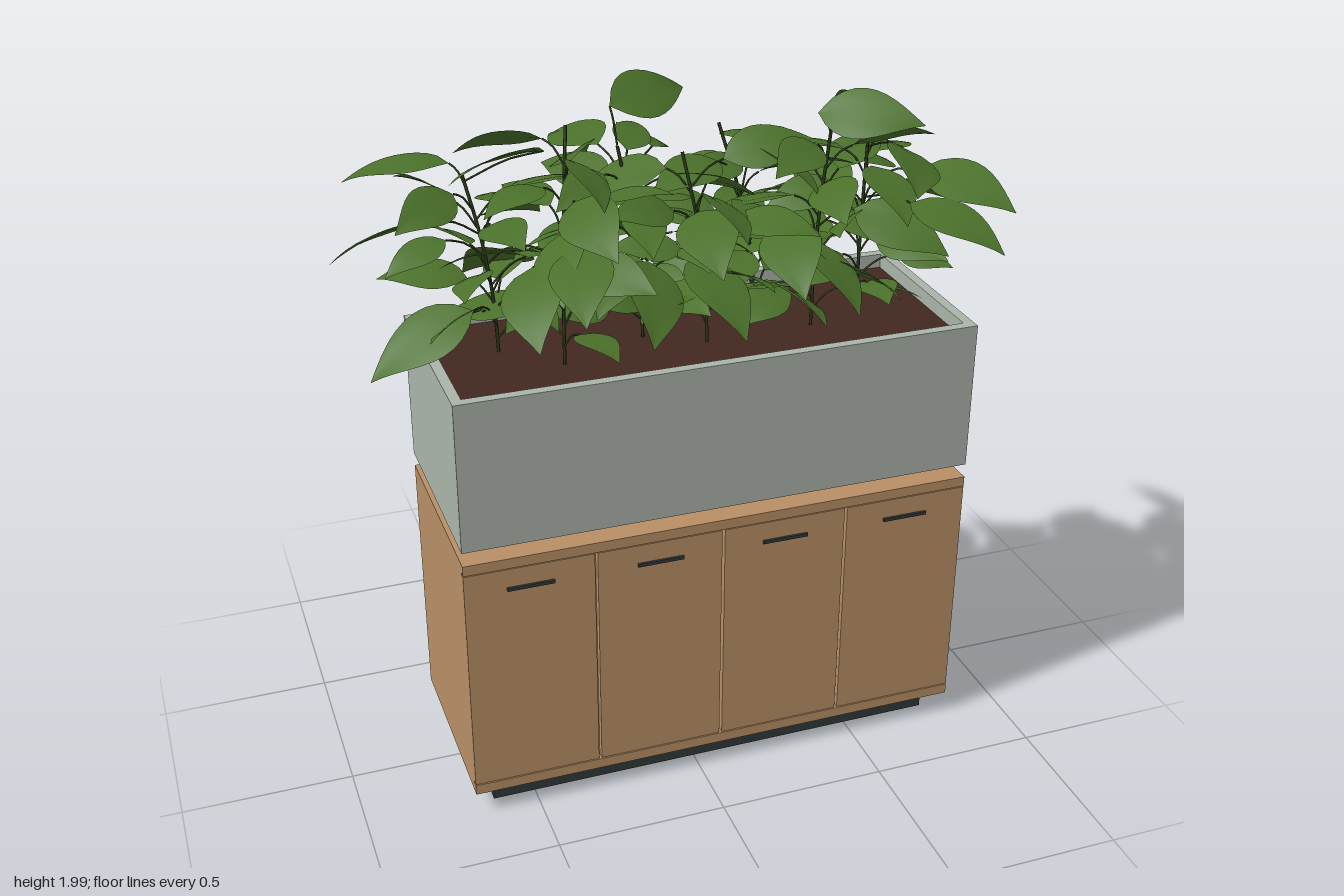
import * as THREE from 'three';

const mat = (name, color, side = THREE.FrontSide) => {
  const m = new THREE.MeshStandardMaterial({ color, side });
  m.name = name;
  return m;
};
const V = (x, y, z) => new THREE.Vector3(x, y, z);

// small seeded generator
function seeded(s) {
  return () => {
    s = (s * 16807) % 2147483647;
    return s / 2147483647;
  };
}

// unit leaf: base at the origin, tip at +z, arched and folded along the midrib
function leafGeometry() {
  const g = new THREE.PlaneGeometry(1, 1, 4, 10);
  g.rotateX(-Math.PI / 2);
  const p = g.attributes.position;
  for (let i = 0; i < p.count; i++) {
    const t = p.getZ(i) + 0.5;
    const half = 1.06 * Math.sin(Math.PI * Math.pow(t, 0.78)) * (1 - 0.2 * t);
    const x = p.getX(i) * Math.max(half, 0.012);
    p.setXYZ(i, x, 0.5 * t * (1 - t) + 0.16 * Math.abs(x) - 0.35 * x * x, t);
  }
  g.computeVertexNormals();
  return g;
}

export function createModel() {
  const model = new THREE.Group();
  const wood = mat('wood', 0xb88f66);
  const grey = mat('planter grey', 0xaab4a9);
  const dark = mat('dark metal', 0x303839);
  const earth = mat('soil', 0x42271f);
  const green = mat('leaf green', 0x4b712b, THREE.DoubleSide);
  const stalk = mat('stem green', 0x2a3a18);

  const group = name => {
    const g = new THREE.Group();
    g.name = name;
    model.add(g);
    return g;
  };
  const add = (parent, name, geo, m, x = 0, y = 0, z = 0) => {
    const mesh = new THREE.Mesh(geo, m);
    mesh.name = name;
    mesh.position.set(x, y, z);
    parent.add(mesh);
    return mesh;
  };
  // box given by its limits on each axis
  const box = (parent, name, m, x0, x1, y0, y1, z0, z1) =>
    add(parent, name, new THREE.BoxGeometry(x1 - x0, y1 - y0, z1 - z0), m,
      (x0 + x1) / 2, (y0 + y1) / 2, (z0 + z1) / 2);

  // cabinet
  const L = -0.687, R = 0.823, B = -0.313, F = 0.29, T = 0.03;
  const cabinet = group('cabinet');
  box(cabinet, 'plinth', dark, -0.625, 0.762, 0, 0.07, -0.265, 0.24);
  box(cabinet, 'bottomPanel', wood, L, R, 0.07, 0.102, B, F);
  box(cabinet, 'topPanel', wood, L, R, 0.815, 0.846, B, F);
  for (const x of [L, R - T])
    box(cabinet, 'sidePanel', wood, x, x + T, 0.102, 0.815, B, F - 0.022);
  box(cabinet, 'backPanel', wood, L + T, R - T, 0.102, 0.815, B + 0.006, B + T);
  box(cabinet, 'innerFront', wood, L + T, R - T, 0.102, 0.815, F - 0.04, F - 0.022);

  // four doors with slim pulls
  const doorWidth = (R - L) / 4;
  for (let i = 0; i < 4; i++) {
    const x0 = L + i * doorWidth, x1 = x0 + doorWidth, mid = (x0 + x1) / 2;
    box(cabinet, 'door', wood, x0 + (i > 0 ? 0.004 : 0), x1 - (i < 3 ? 0.004 : 0), 0.105, 0.812, F - 0.022, F - 0.001);
    box(cabinet, 'doorPull', dark, mid - 0.068, mid + 0.068, 0.745, 0.755, F - 0.001, F + 0.006);
  }

  // planter box on four feet
  const planter = group('planter');
  const footGeo = new THREE.CylinderGeometry(0.022, 0.028, 0.045, 20);
  for (const x of [-0.545, 0.682])
    for (const z of [-0.2, 0.175]) add(planter, 'foot', footGeo, dark, x, 0.868, z);
  const rect = (Kind, w, d) =>
    new Kind([V(-w, -d, 0), V(w, -d, 0), V(w, d, 0), V(-w, d, 0)].map(v => new THREE.Vector2(v.x, v.y)));
  const rim = rect(THREE.Shape, (R - L) / 2, (F - B) / 2);
  rim.holes.push(rect(THREE.Path, (R - L) / 2 - T, (F - B) / 2 - T));
  const walls = new THREE.ExtrudeGeometry(rim, { depth: 0.445, bevelEnabled: false });
  walls.rotateX(-Math.PI / 2);
  add(planter, 'planterWalls', walls, grey, (L + R) / 2, 0.888, (B + F) / 2);
  box(planter, 'planterFloor', grey, L + T, R - T, 0.888, 0.91, B + T, F - T);
  box(planter, 'soil', earth, L + T, R - T, 0.91, 1.29, B + T, F - T);

  // plants: foot x, foot z, top x, top y, top z
  const plants = [
    [-0.47, -0.08, -0.53, 1.79, -0.16], [-0.32, 0.06, -0.26, 1.92, -0.08],
    [-0.06, -0.04, -0.11, 1.84, -0.1], [0.1, 0.05, 0.03, 1.85, 0.03],
    [0.28, -0.04, 0.21, 1.85, -0.17], [0.42, 0.04, 0.46, 1.88, 0.04],
    [0.59, -0.02, 0.6, 1.8, -0.02],
  ];
  const foliage = group('foliage');
  const leafGeo = leafGeometry();
  // point on a leaning stem at a given height
  const stemAt = (p, y) => {
    const t = THREE.MathUtils.clamp((y - 1.28) / (p[3] - 1.28), 0, 1);
    return V(p[0] + (p[2] - p[0]) * t * t, 1.28 + (p[3] - 1.28) * t, p[1] + (p[4] - p[1]) * t * t);
  };
  const tube = (name, pts, r, n) =>
    add(foliage, name, new THREE.TubeGeometry(new THREE.CatmullRomCurve3(pts), n, r, 5), stalk);
  const addLeaf = (base, tip, roll, p) => {
    const leaf = add(foliage, 'leaf', leafGeo, green, base.x, base.y, base.z);
    const len = base.distanceTo(tip);
    leaf.lookAt(tip);
    leaf.rotateZ(roll);
    leaf.scale.set(len * 0.57, len * 0.65, len);
    const root = stemAt(p, base.y - 0.07);
    const mid = root.clone().lerp(base, 0.55);
    mid.y += 0.015;
    tube('leafStalk', [root, mid, base], 0.003, 5);
  };
  for (const p of plants)
    tube('stem', [0, 1, 2, 3].map(i => stemAt(p, 1.28 + (p[3] - 1.28) * i / 3)), 0.005, 12);

  // outer leaves: tip x, y, z and heading in degrees; low leaves hang more
  const outer = [
    [-0.84, 1.77, -0.25, 195], [-0.92, 1.61, -0.07, 180], [-0.85, 1.31, 0.04, 178],
    [-0.33, 1.6, -0.44, -72], [-0.5, 1.42, -0.36, -115], [-0.18, 1.76, -0.5, -100],
    [-0.09, 1.54, -0.45, -97], [0.02, 1.74, -0.48, -90], [0.12, 1.27, -0.43, -85],
    [0.58, 1.64, -0.37, -30], [0.69, 1.78, -0.46, -102], [0.83, 1.68, -0.27, -45],
    [0.91, 1.57, -0.05, -5], [0.88, 1.68, 0.34, 55], [0.78, 1.62, 0.47, 55],
    [0.5, 1.82, 0.49, 109], [0.26, 1.52, 0.36, 100], [0, 1.64, 0.43, 98],
    [-0.17, 1.45, 0.38, 106], [-0.37, 1.57, 0.45, 104], [-0.48, 1.5, 0.41, 102],
    [0.64, 1.92, 0.24, 36], [0.15, 1.92, -0.3, -27], [-0.59, 1.8, -0.05, 165],
    [0.42, 1.45, 0.36, 80], [0.1, 1.42, 0.35, 80], [-0.26, 1.7, 0.37, 85],
  ];
  const rollFor = (y, i) => {
    if (y > 1.9) return 0.7;
    return y < 1.3 ? -1.1 : 0.5 * Math.sin(i * 2);
  };
  const nearest = b => plants.reduce((p, q) =>
    Math.hypot(p[0] - b.x, p[1] - b.z) < Math.hypot(q[0] - b.x, q[1] - b.z) ? p : q);
  outer.forEach(([x, y, z, heading], i) => {
    const a = THREE.MathUtils.degToRad(heading);
    const drop = 0.04 + (1.8 - y) * 0.25;
    const base = V(x - 0.29 * Math.cos(a), y + drop, z - 0.29 * Math.sin(a));
    addLeaf(base, V(x, y, z), rollFor(y, i), nearest(base));
  });

  // inner leaves spiral up every stem
  const rnd = seeded(4711);
  plants.forEach((p, k) => {
    for (let i = 0; i < 15; i++) {
      const y = 1.36 + (p[3] - 1.41) * (i + rnd() * 0.6) / 15;
      const a = k * 1.3 + i * 2.4 + rnd() * 0.4;
      const s = stemAt(p, y), reach = 0.05 + rnd() * 0.06, len = 0.2 + rnd() * 0.08;
      const dx = Math.cos(a), dz = Math.sin(a);
      const base = V(s.x + dx * reach, y + 0.04, s.z + dz * reach);
      const tip = V(base.x + dx * len, base.y - 0.1 + rnd() * 0.13, base.z + dz * len);
      tip.x = THREE.MathUtils.clamp(tip.x, -0.78, 0.82);
      tip.y = Math.max(tip.y, 1.34);
      tip.z = THREE.MathUtils.clamp(tip.z, -0.4, 0.36);
      addLeaf(base, tip, (rnd() - 0.5) * 1.3, p);
    }
  });

  return model;
}
